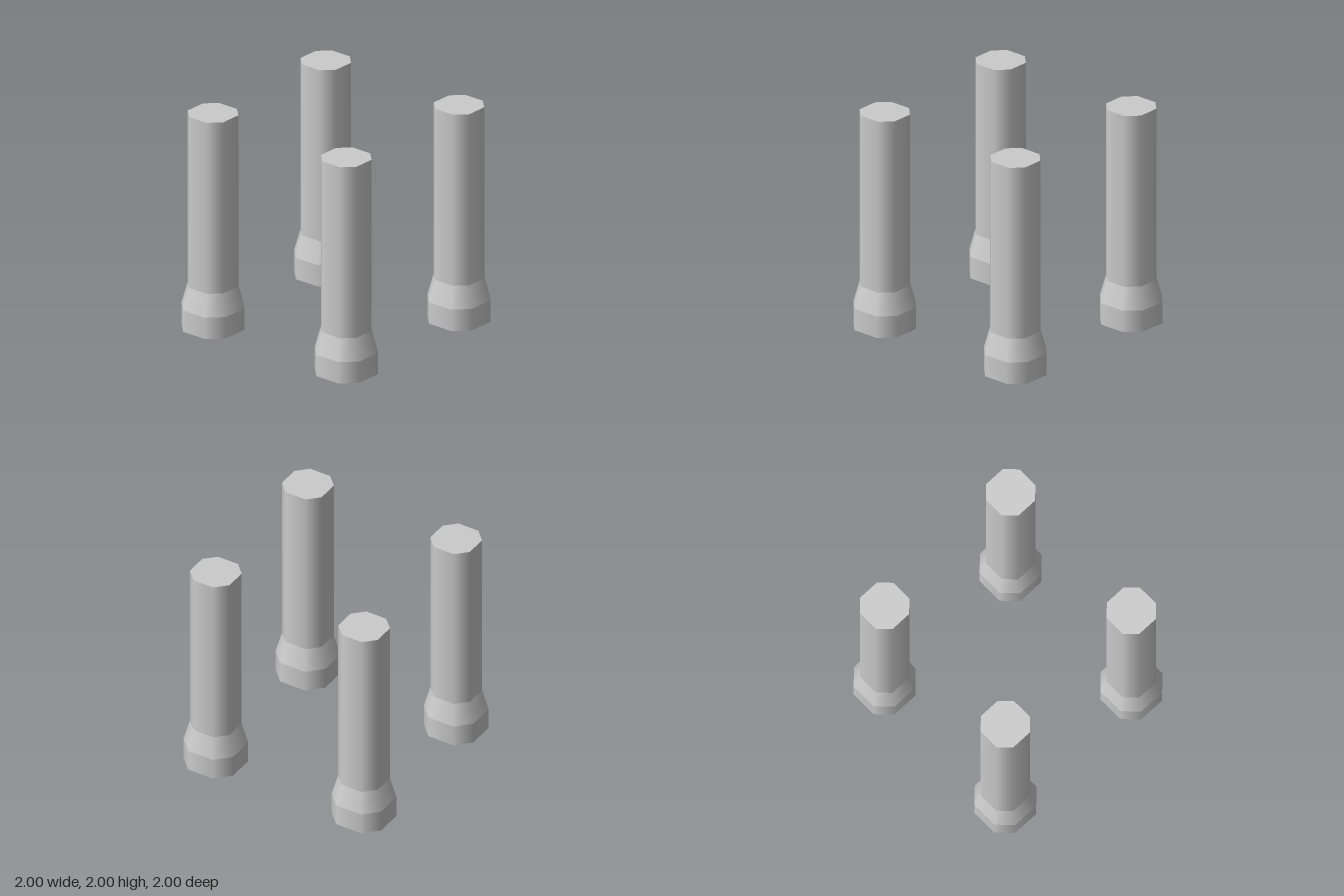
import * as THREE from 'three';

const SIDES = 8;
const START = Math.PI / SIDES;
const NARROW = 0.5 / Math.tan(START);

// Turn a regular octagon into a square with its corners cut at a quarter of the width
function cutCorners(geometry) {
  const p = geometry.attributes.position;
  for (let i = 0; i < p.count; i++) {
    const x = p.getX(i), z = p.getZ(i);
    if (Math.abs(x) < Math.abs(z)) p.setX(i, x * NARROW);
    else p.setZ(i, z * NARROW);
  }
  return geometry;
}

export function createModel() {
  const model = new THREE.Group();
  model.name = 'legs';
  const material = new THREE.MeshStandardMaterial({ color: 0xcccccc });
  const radius = (half) => half / Math.cos(START);

  // Eight-sided wall, smooth around, between two heights
  function wall(bottomHalf, topHalf, y0, y1) {
    const g = new THREE.CylinderGeometry(
      radius(topHalf), radius(bottomHalf), y1 - y0, SIDES, 1, true, START);
    return cutCorners(g.translate(0, (y0 + y1) / 2, 0));
  }

  // Flat end, facing up or down
  function cap(half, y, up) {
    const g = new THREE.CircleGeometry(radius(half), SIDES, START);
    return cutCorners(g.rotateX(up ? -Math.PI / 2 : Math.PI / 2).translate(0, y, 0));
  }

  const parts = {
    sole: cap(0.25, 0, false),
    foot: wall(0.25, 0.25, 0, 0.2),
    taper: wall(0.25, 0.2, 0.2, 0.4),
    shaft: wall(0.2, 0.2, 0.4, 2),
    shaftTop: cap(0.2, 2, true),
  };

  // One leg at each corner
  for (const [xSide, x] of [['Left', 0.75], ['Right', -0.75]]) {
    for (const [zSide, z] of [['front', 0.75], ['back', -0.75]]) {
      const leg = new THREE.Group();
      leg.name = `${zSide}${xSide}Leg`;
      leg.position.set(x, 0, z);
      for (const [name, geometry] of Object.entries(parts)) {
        const mesh = new THREE.Mesh(geometry, material);
        mesh.name = name;
        leg.add(mesh);
      }
      model.add(leg);
    }
  }
  return model;
}
